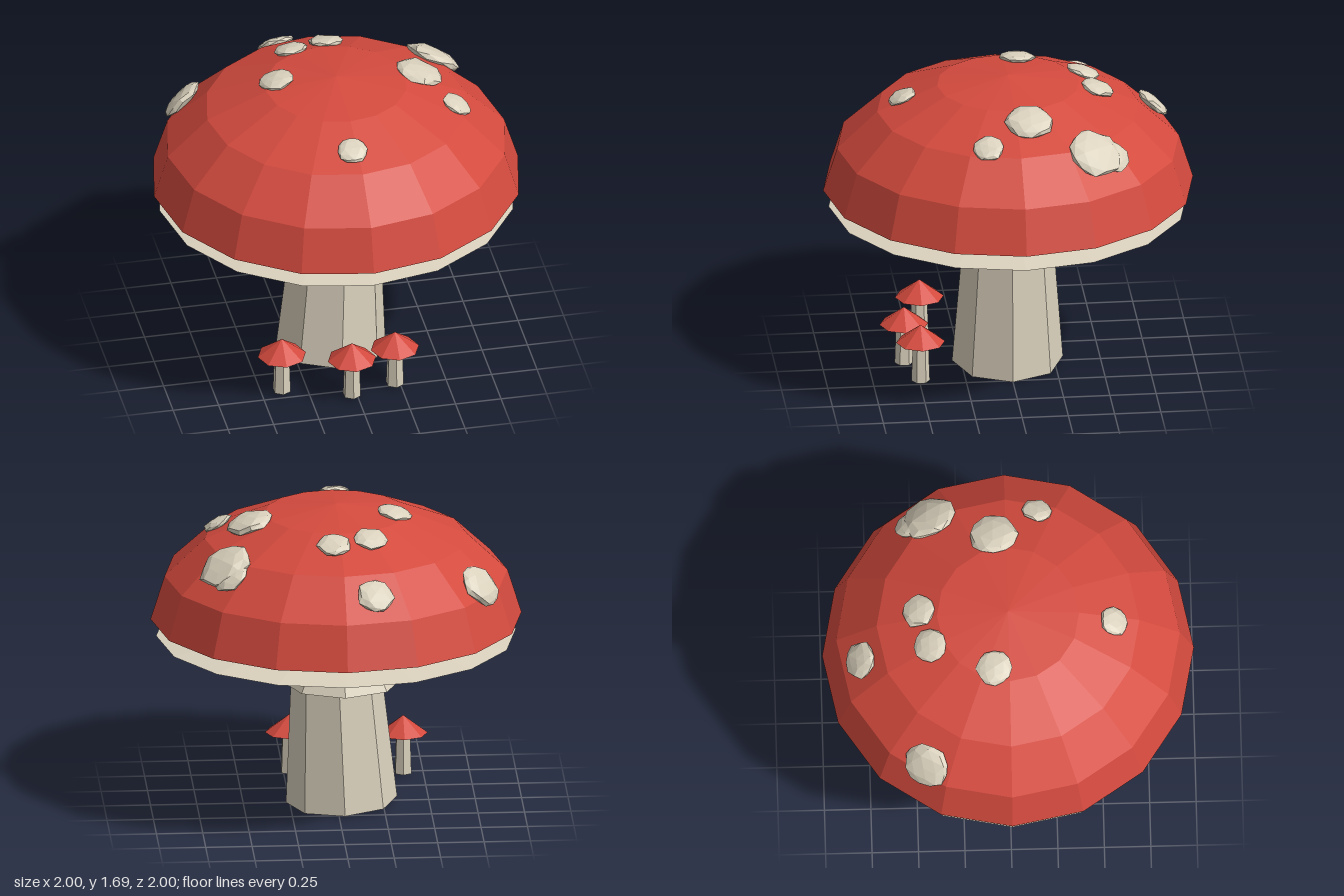
import * as THREE from 'three';

const CAP_Y = 1.055, CAP_H = 0.635;

export function createModel() {
  const red = new THREE.MeshStandardMaterial({ color: 0xd44a3e });
  red.name = 'cap red';
  const cream = new THREE.MeshStandardMaterial({ color: 0xdad1bd });
  cream.name = 'stem cream';

  const model = new THREE.Group();
  model.name = 'mushroom';

  // Faceted mesh helper
  function add(parent, name, geometry, material, x = 0, y = 0, z = 0) {
    const flat = geometry.index ? geometry.toNonIndexed() : geometry;
    flat.computeVertexNormals();
    const mesh = new THREE.Mesh(flat, material);
    mesh.name = name;
    mesh.position.set(x, y, z);
    parent.add(mesh);
    return mesh;
  }

  // Domed cap with a flat underside
  const dome = new THREE.SphereGeometry(1, 16, 4, 0, Math.PI * 2, 0, Math.PI / 2);
  dome.scale(1, CAP_H, 1);
  add(model, 'cap', dome, red, 0, CAP_Y, 0);
  const under = new THREE.CircleGeometry(1, 16);
  under.rotateX(Math.PI / 2);
  add(model, 'capUnderside', under, red, 0, CAP_Y, 0);

  // Shallow gill cone below the cap
  add(model, 'gills', new THREE.ConeGeometry(0.97, 0.12, 16), cream, 0, 1.02, 0);

  // Slightly leaning stem and its skirt
  const stemShape = new THREE.CylinderGeometry(0.22, 0.3, 1.02, 8);
  stemShape.translate(0, 0.51, 0);
  const stem = add(model, 'stem', stemShape, cream, -0.03, 0.015, 0);
  stem.rotation.z = -0.04;
  add(model, 'stemRing', new THREE.CylinderGeometry(0.28, 0.325, 0.08, 8), cream, -0.03, 0.73, 0);

  // Lumpy spots: x, z, radius; each sits on the dome along its normal
  const spots = [
    [-0.16, -0.8, 0.1], [-0.75, -0.46, 0.125], [-0.16, -0.42, 0.092], [0.04, -0.48, 0.092],
    [-0.31, -0.08, 0.097], [0.47, -0.07, 0.13], [0.63, 0.17, 0.083], [-0.03, 0.57, 0.08],
    [0.6, -0.5, 0.1], [0.62, -0.41, 0.15],
  ];
  const up = new THREE.Vector3(0, 1, 0);
  spots.forEach(([x, z, r], i) => {
    const g = new THREE.IcosahedronGeometry(1, 1);
    const p = g.attributes.position;
    const v = new THREE.Vector3();
    for (let k = 0; k < p.count; k++) {
      v.fromBufferAttribute(p, k);
      // Wobble depends only on direction, so shared corners stay joined
      v.multiplyScalar(1 + 0.09 * Math.sin(v.x * 5 + i * 2.1) * Math.cos(v.z * 4 + v.y * 3 + i));
      p.setXYZ(k, v.x * r, v.y * r * 0.32, v.z * r);
    }
    const h = Math.sqrt(1 - x * x - z * z);
    const spot = add(model, 'spot' + (i + 1), g, cream, x, CAP_Y + CAP_H * h, z);
    spot.quaternion.setFromUnitVectors(up, new THREE.Vector3(x, h / CAP_H, z).normalize());
  });

  // Three small mushrooms in front
  [[-0.39, 0.44], [-0.03, 0.56], [0.22, 0.495]].forEach(([x, z], i) => {
    const small = new THREE.Group();
    small.name = 'smallMushroom' + (i + 1);
    small.position.set(x, 0, z);
    add(small, 'smallStem', new THREE.CylinderGeometry(0.042, 0.05, 0.23, 6), cream, 0, 0.13, 0);
    add(small, 'smallCap', new THREE.ConeGeometry(0.132, 0.1, 8), red, 0, 0.29, 0);
    model.add(small);
  });

  return model;
}
